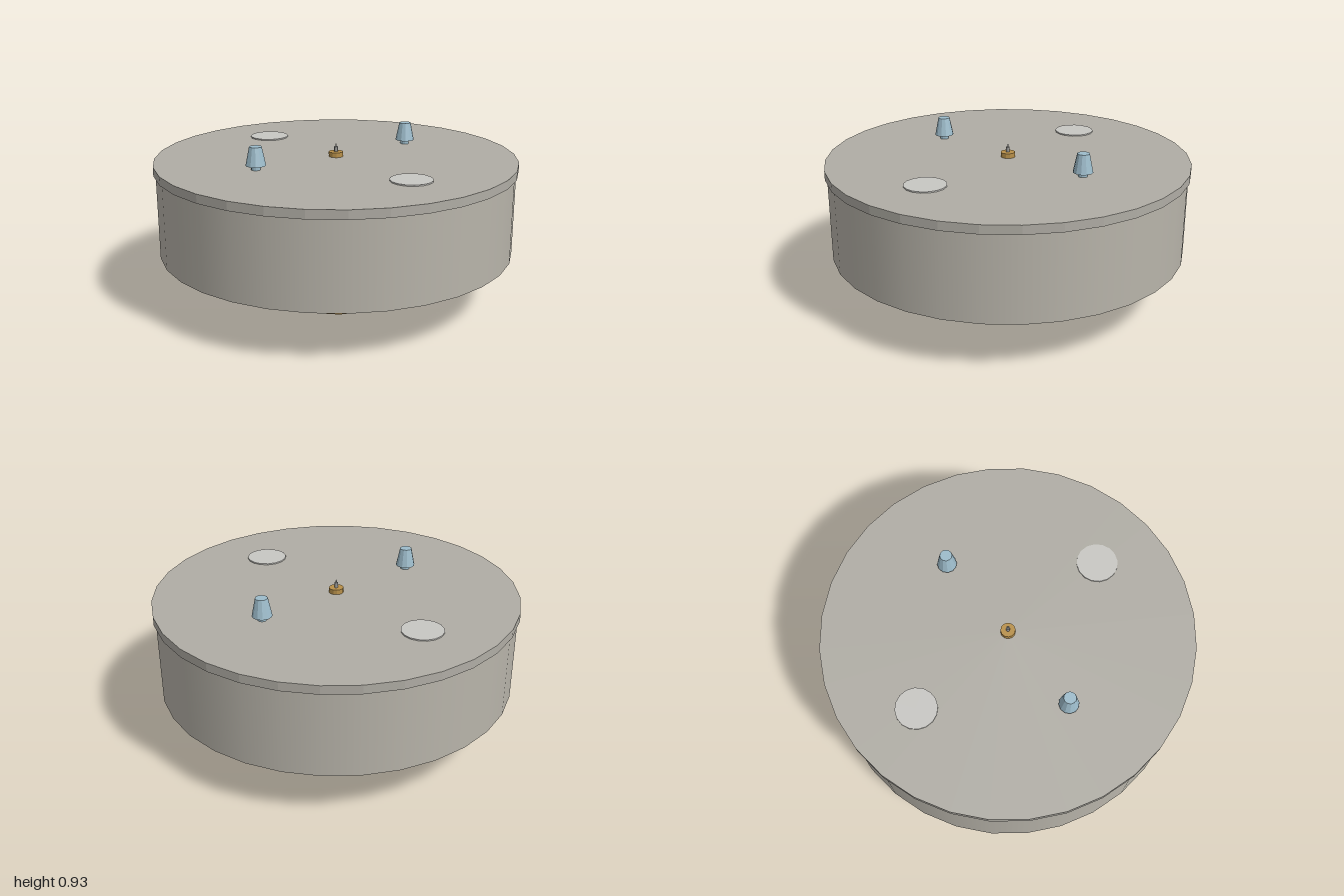
import * as THREE from 'three';

export function createModel() {
  const model = new THREE.Group();
  const material = (color, flatShading = false) => new THREE.MeshStandardMaterial({ color, flatShading });
  const shell = material(0xb8b4aa);
  const lidGrey = material(0xb0ada5, true);
  const padGrey = material(0xc8c7c3, true);
  const brass = material(0xb8904a, true);
  const blue = material(0x9dbccb, true);
  const steel = material(0x9a9a98);
  const brown = material(0x3a2416);
  const black = material(0x0a0a0a);

  // Upright round part between two heights, optionally tapered
  function addRound(name, mat, y0, y1, rBottom, sides, { rTop = rBottom, x = 0, z = 0 } = {}) {
    const mesh = new THREE.Mesh(new THREE.CylinderGeometry(rTop, rBottom, y1 - y0, sides), mat);
    mesh.position.set(x, (y0 + y1) / 2, z);
    mesh.name = name;
    model.add(mesh);
  }

  // Drum, lid and dark underside
  addRound('drum', shell, 0.29, 0.755, 0.988, 32);
  addRound('lid', lidGrey, 0.755, 0.803, 1, 32);
  addRound('underside', black, 0.286, 0.3, 0.92, 24);

  // Shaft and mounting flange
  addRound('shaft', brown, 0.04, 0.29, 0.058, 16);
  addRound('flange', brass, 0, 0.042, 0.346, 16);

  // Centre boss with a stepped pin
  addRound('boss', brass, 0.803, 0.83, 0.04, 12);
  addRound('pin', steel, 0.83, 0.858, 0.01, 8);
  addRound('pinTip', steel, 0.858, 0.875, 0.004, 8, { rTop: 0.002 });

  // Two tapered terminals on short necks
  for (const [x, z] of [[0.42, -0.29], [-0.435, 0.27]]) {
    addRound('terminalNeck', blue, 0.803, 0.828, 0.025, 12, { x, z });
    addRound('terminal', blue, 0.826, 0.927, 0.054, 12, { rTop: 0.033, x, z });
  }

  // Two shallow round pads
  for (const [x, z] of [[-0.375, -0.513], [0.35, 0.525]]) {
    addRound('pad', padGrey, 0.803, 0.81, 0.112, 16, { x, z });
  }
  return model;
}
